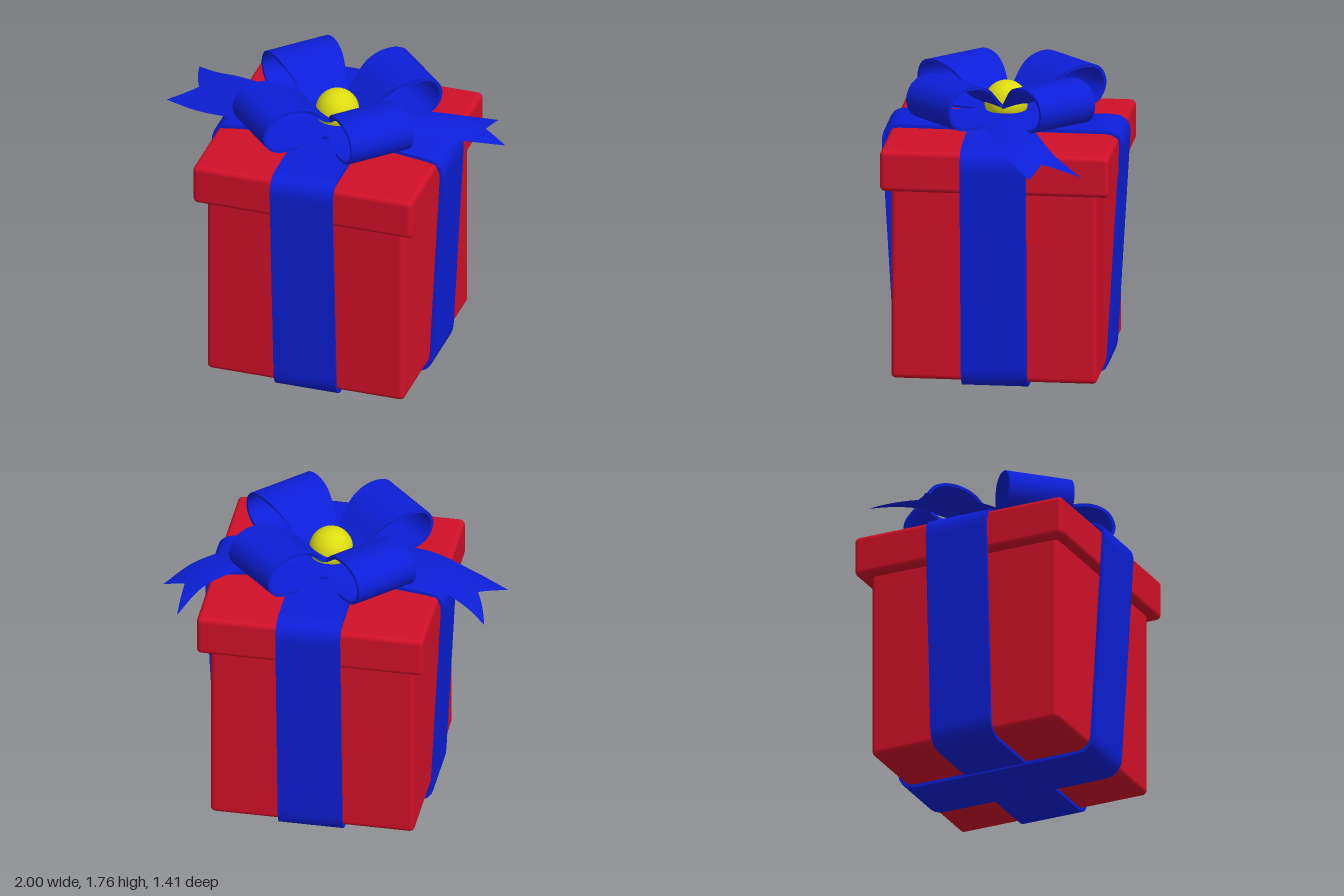
import * as THREE from 'three';
import { RoundedBoxGeometry } from 'three/addons/geometries/RoundedBoxGeometry.js';
import { ParametricGeometry } from 'three/addons/geometries/ParametricGeometry.js';
import { toCreasedNormals } from 'three/addons/utils/BufferGeometryUtils.js';

const red = new THREE.MeshStandardMaterial({ color: 0xd01028 });
const blue = new THREE.MeshStandardMaterial({ color: 0x0c1fd8, side: THREE.DoubleSide });
const yellow = new THREE.MeshStandardMaterial({ color: 0xdcdc10 });
const CX = 0.055; // box axis in x

function add(parent, name, geometry, material, x = 0, y = 0, z = 0) {
  const mesh = new THREE.Mesh(geometry, material);
  mesh.name = name;
  mesh.position.set(x, y, z);
  parent.add(mesh);
  return mesh;
}

// Thick ribbon following 2D points; halfWidth(x) gives its half extent along z
function strip(points, thickness, halfWidth) {
  const outer = [], inner = [];
  points.forEach((p, i) => {
    const a = points[Math.max(i - 1, 0)], b = points[Math.min(i + 1, points.length - 1)];
    const t = b.clone().sub(a).normalize().multiplyScalar(thickness / 2);
    outer.push(new THREE.Vector2(p.x + t.y, p.y - t.x));
    inner.unshift(new THREE.Vector2(p.x - t.y, p.y + t.x));
  });
  const geo = new THREE.ExtrudeGeometry(new THREE.Shape([...outer, ...inner]),
    { depth: 2, bevelEnabled: false });
  geo.translate(0, 0, -1);
  const pos = geo.attributes.position;
  for (let i = 0; i < pos.count; i++) pos.setZ(i, pos.getZ(i) * halfWidth(pos.getX(i)));
  return toCreasedNormals(geo, 0.7);
}

// Points around a polygon with rounded corners, starting mid first edge
function roundedLoop(corners, r) {
  const c = corners.map(([x, y]) => new THREE.Vector2(x, y));
  const n = c.length;
  const start = c[n - 1].clone().lerp(c[0], 0.5);
  const path = new THREE.Path().moveTo(start.x, start.y);
  c.forEach((p, i) => {
    const toward = (q) => p.clone().add(q.clone().sub(p).setLength(r));
    const a = toward(c[(i + n - 1) % n]), b = toward(c[(i + 1) % n]);
    path.lineTo(a.x, a.y);
    path.quadraticCurveTo(p.x, p.y, b.x, b.y);
  });
  path.lineTo(start.x - 0.0005, start.y);
  return path.getSpacedPoints(160);
}

// Ribbon tail lofted between two edges, with a V notch at the end
function tail(back, front, notch) {
  const curve = (pts) => new THREE.CatmullRomCurve3(pts.map((p) => new THREE.Vector3(...p)));
  const a = curve(back), b = curve(front), q = new THREE.Vector3();
  return new ParametricGeometry((u, v, out) => {
    const mid = 1 - Math.abs(2 * v - 1);
    const t = u * (1 - notch * mid);
    a.getPoint(t, out).lerp(b.getPoint(t, q), v);
    out.y += 0.015 * mid * (2 - mid);
  }, 24, 12);
}

export function createModel() {
  const model = new THREE.Group();
  model.name = 'giftBox';

  // Box and lid
  add(model, 'box', new RoundedBoxGeometry(1.205, 1.16, 1.205, 4, 0.03), red, CX, 0.625, 0);
  add(model, 'lid', new RoundedBoxGeometry(1.34, 0.245, 1.34, 4, 0.03), red, CX, 1.307, -0.01);

  // Bands wrapped around the box, wider at the top
  const frontBand = roundedLoop(
    [[0.615, 0.01], [0.7, 1.455], [-0.7, 1.455], [-0.615, 0.01]], 0.1);
  add(model, 'frontBackBand', strip(frontBand, 0.02, () => 0.19), blue, 0.062, 0, 0)
    .rotation.y = Math.PI / 2;
  const sideBand = roundedLoop(
    [[0.685, 0.02], [0.757, 1.435], [0.33, 1.483], [-0.22, 1.483], [-0.645, 1.435], [-0.575, 0.02]], 0.1);
  add(model, 'sideBand', strip(sideBand, 0.02, () => 0.193), blue, 0, 0, -0.005);

  // Bow loops, pinched toward the knot
  const bow = new THREE.Group();
  bow.name = 'bow';
  bow.position.x = CX;
  model.add(bow);
  const profile = new THREE.SplineCurve([
    [0.02, 1.525], [0.2, 1.515], [0.42, 1.512], [0.53, 1.545], [0.573, 1.635], [0.53, 1.725],
    [0.42, 1.755], [0.28, 1.72], [0.14, 1.6], [0.02, 1.54],
  ].map(([x, y]) => new THREE.Vector2(x, y))).getSpacedPoints(64);
  const flare = (s) => 0.04 + 0.16 * (1 - Math.pow(Math.max(0, 1 - s / 0.5), 2.5));
  const loopGeometry = strip(profile, 0.018, flare);
  for (let i = 0; i < 4; i++) {
    add(bow, 'bowLoop', loopGeometry, blue).rotation.y = Math.PI / 4 + i * Math.PI / 2;
  }

  // Yellow knot
  add(bow, 'knot', new THREE.SphereGeometry(0.127, 40, 24), yellow, 0, 1.57, 0);

  // Ribbon tails
  add(model, 'rightTail', tail(
    [[0.05, 1.5, -0.05], [-0.3, 1.54, -0.14], [-0.6, 1.525, -0.24], [-0.8, 1.475, -0.33], [-0.93, 1.43, -0.43]],
    [[0.05, 1.5, 0.05], [-0.25, 1.51, 0.17], [-0.5, 1.5, 0.17], [-0.78, 1.45, 0.08], [-1, 1.42, -0.03]],
    0.18), blue);
  add(model, 'leftTail', tail(
    [[0.05, 1.5, -0.05], [0.32, 1.53, -0.15], [0.58, 1.5, -0.26], [0.75, 1.44, -0.37], [0.865, 1.345, -0.535]],
    [[0.05, 1.5, 0.05], [0.38, 1.515, 0.08], [0.63, 1.49, 0], [0.85, 1.435, -0.11], [1, 1.36, -0.25]],
    0.14), blue);

  return model;
}
